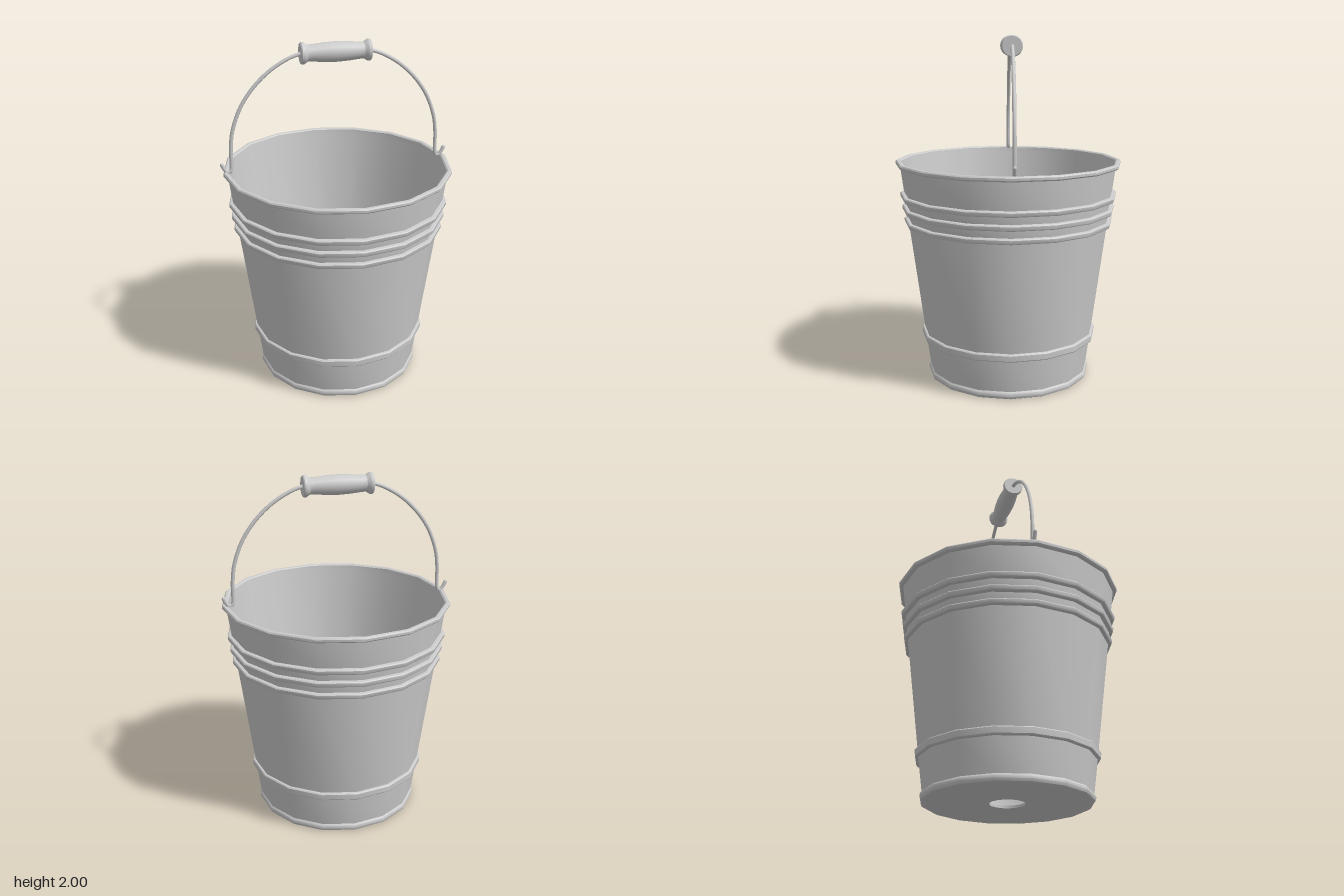
import * as THREE from 'three';
import { toCreasedNormals } from 'three/addons/utils/BufferGeometryUtils.js';

const material = new THREE.MeshStandardMaterial({ color: 0xcccccc });

function addMesh(parent, name, geometry) {
  const mesh = new THREE.Mesh(geometry, material);
  mesh.name = name;
  parent.add(mesh);
  return mesh;
}

// Turned part with sharp profile edges; points are [radius, height]
function turned(points, sides) {
  const profile = points.map(([r, y]) => new THREE.Vector2(r, y));
  return toCreasedNormals(new THREE.LatheGeometry(profile, sides), 0.6);
}

// Raised hoop around the wall, from y0 to y1
const wallRadius = (y) => 0.468 + 0.131 * y;
function hoop(y0, y1, radius) {
  return [
    [wallRadius(y0), y0], [radius - 0.004, y0 + 0.003], [radius, y0 + 0.008],
    [radius + 0.002, y1 - 0.006], [radius - 0.003, y1], [wallRadius(y1), y1 + 0.002],
  ];
}

export function createModel() {
  const model = new THREE.Group();
  model.name = 'bucket';

  // Pail: underside, foot bead, hooped wall, rim, then back down the inside to the drain hole
  const inner = (y) => [wallRadius(y) - 0.008, y];
  const pail = addMesh(model, 'pail', turned([
    [0.1, 0.005], [0.455, 0.005], [0.465, 0], [0.476, 0.006], [0.482, 0.02], [0.48, 0.036], [0.472, 0.045],
    ...hoop(0.232, 0.278, 0.517),
    ...hoop(0.918, 0.95, 0.611),
    ...hoop(0.992, 1.025, 0.622),
    ...hoop(1.068, 1.1, 0.633),
    [wallRadius(1.258), 1.258], [0.65, 1.26], [0.657, 1.267], [0.658, 1.28], [0.652, 1.288],
    [0.636, 1.288], [0.628, 1.282],
    inner(1.25), inner(0.25), inner(0.03),
    [0.455, 0.02], [0.1, 0.02], [0.1, 0.005],
  ], 16));
  pail.position.x = 0.007;

  const handle = new THREE.Group();
  handle.name = 'handle';
  handle.position.z = -0.016;
  model.add(handle);

  // Wire bail with hooked ends
  const half = [
    [0.655, 1.332], [0.638, 1.298], [0.622, 1.283], [0.607, 1.29], [0.601, 1.33], [0.6, 1.42],
    [0.585, 1.53], [0.53, 1.67], [0.44, 1.79], [0.33, 1.88], [0.2, 1.938],
  ];
  const right = half.map(([x, y]) => new THREE.Vector3(-x, y, 0));
  const left = half.map(([x, y]) => new THREE.Vector3(x, y, 0)).reverse();
  const path = new THREE.CatmullRomCurve3([...right, new THREE.Vector3(0, 1.945, 0), ...left], false, 'centripetal');
  addMesh(handle, 'bail', new THREE.TubeGeometry(path, 90, 0.011, 8));

  // Closed tips of the hooks
  for (const [x, y] of [half[0], [-half[0][0], half[0][1]]]) {
    const tip = addMesh(handle, 'hookTip', new THREE.SphereGeometry(0.011, 8, 6));
    tip.position.set(x, y, 0);
  }

  // Turned grip with flanged ends
  const grip = addMesh(handle, 'grip', turned([
    [0, -0.198], [0.055, -0.198], [0.06, -0.192], [0.06, -0.18], [0.054, -0.17], [0.046, -0.158],
    [0.047, -0.13], [0.053, -0.07], [0.056, 0], [0.053, 0.07], [0.047, 0.13],
    [0.046, 0.158], [0.054, 0.17], [0.06, 0.18], [0.06, 0.192], [0.055, 0.198], [0, 0.198],
  ], 20));
  grip.rotation.z = Math.PI / 2;
  grip.position.y = 1.94;

  return model;
}
